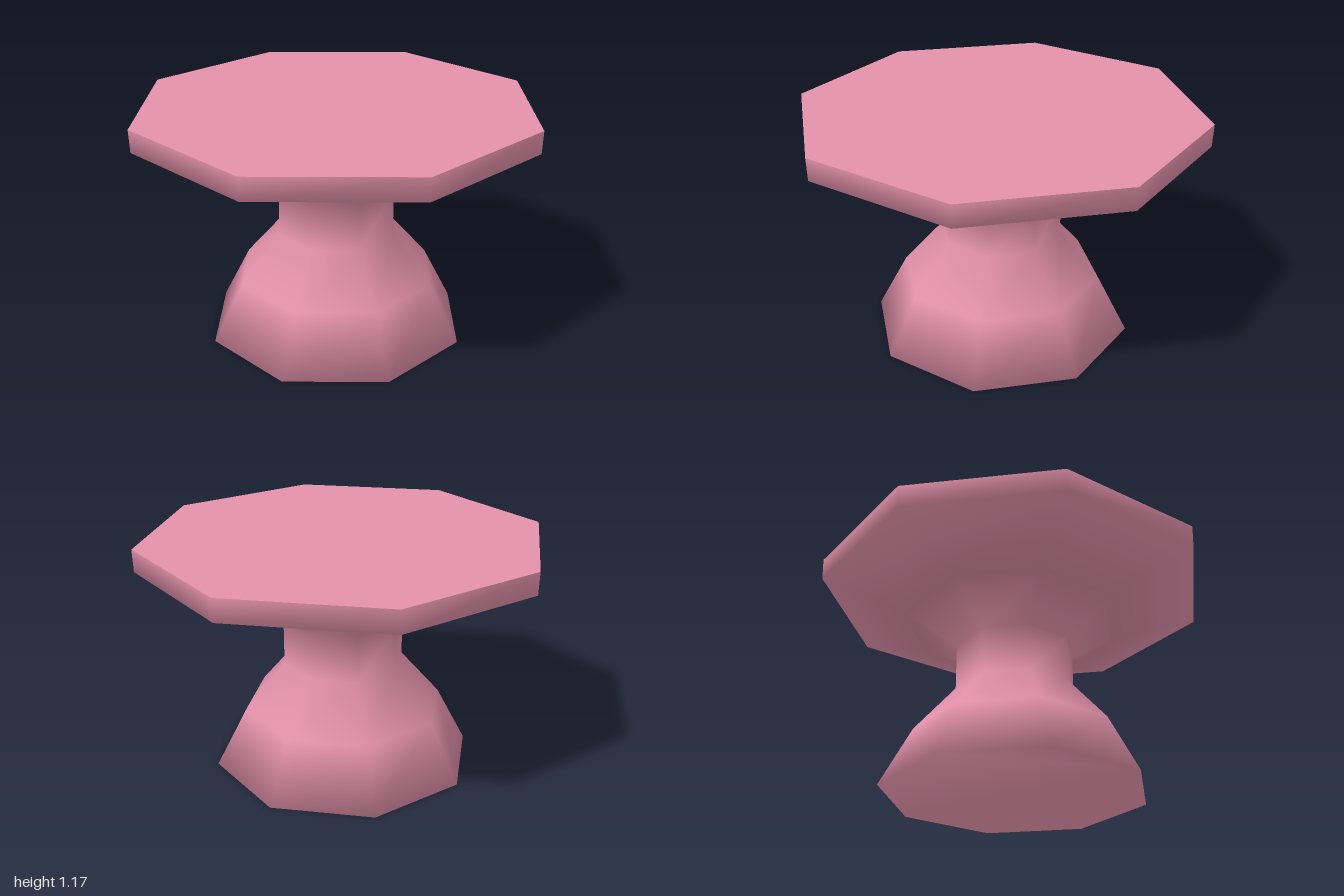
import * as THREE from 'three';

const SIDES = 8;

// Profile from the foot up to the rim: [radius, height]
const PROFILE = [
  [0.66, 0], [0.505, 0.295], [0.303, 0.53], [0.303, 0.77],
  [0.565, 0.92], [0.997, 1.064], [1, 1.174],
];

// Outward normal (radial, up) of the profile segment starting at point i
function segmentNormal(i) {
  if (i < 0) return new THREE.Vector2(0, -1); // underside
  const j = Math.min(i, PROFILE.length - 2);
  const [r0, y0] = PROFILE[j];
  const [r1, y1] = PROFILE[j + 1];
  return new THREE.Vector2(y1 - y0, r0 - r1).normalize();
}

// Smooth eight-sided shell, closed underneath
function pedestalGeometry() {
  const positions = [];
  const normals = [];
  const index = [];
  PROFILE.forEach(([r, y], i) => {
    const n = segmentNormal(i - 1).add(segmentNormal(i)).normalize();
    for (let s = 0; s < SIDES; s++) {
      const a = (s / SIDES) * Math.PI * 2;
      positions.push(r * Math.sin(a), y, r * Math.cos(a));
      normals.push(n.x * Math.sin(a), n.y, n.x * Math.cos(a));
    }
  });
  for (let i = 0; i < PROFILE.length - 1; i++) {
    for (let s = 0; s < SIDES; s++) {
      const a = i * SIDES + s;
      const b = i * SIDES + ((s + 1) % SIDES);
      index.push(a, b, b + SIDES, a, b + SIDES, a + SIDES);
    }
  }
  // Underside shares the foot ring, so the shading rolls over its edge
  for (let s = 1; s < SIDES - 1; s++) index.push(0, s + 1, s);

  const geometry = new THREE.BufferGeometry();
  geometry.setAttribute('position', new THREE.Float32BufferAttribute(positions, 3));
  geometry.setAttribute('normal', new THREE.Float32BufferAttribute(normals, 3));
  geometry.setIndex(index);
  return geometry;
}

export function createModel() {
  const pink = new THREE.MeshStandardMaterial({ color: 0xe391ab });
  pink.name = 'dusty pink';

  const group = new THREE.Group();
  group.name = 'pedestalTable';

  // Foot, neck, flared underside and rim
  const pedestal = new THREE.Mesh(pedestalGeometry(), pink);
  pedestal.name = 'pedestal';

  // Flat table top
  const top = new THREE.Mesh(new THREE.CircleGeometry(1, SIDES), pink);
  top.name = 'tableTop';
  top.rotation.x = -Math.PI / 2;
  top.position.y = PROFILE[PROFILE.length - 1][1];

  group.add(pedestal, top);
  return group;
}
